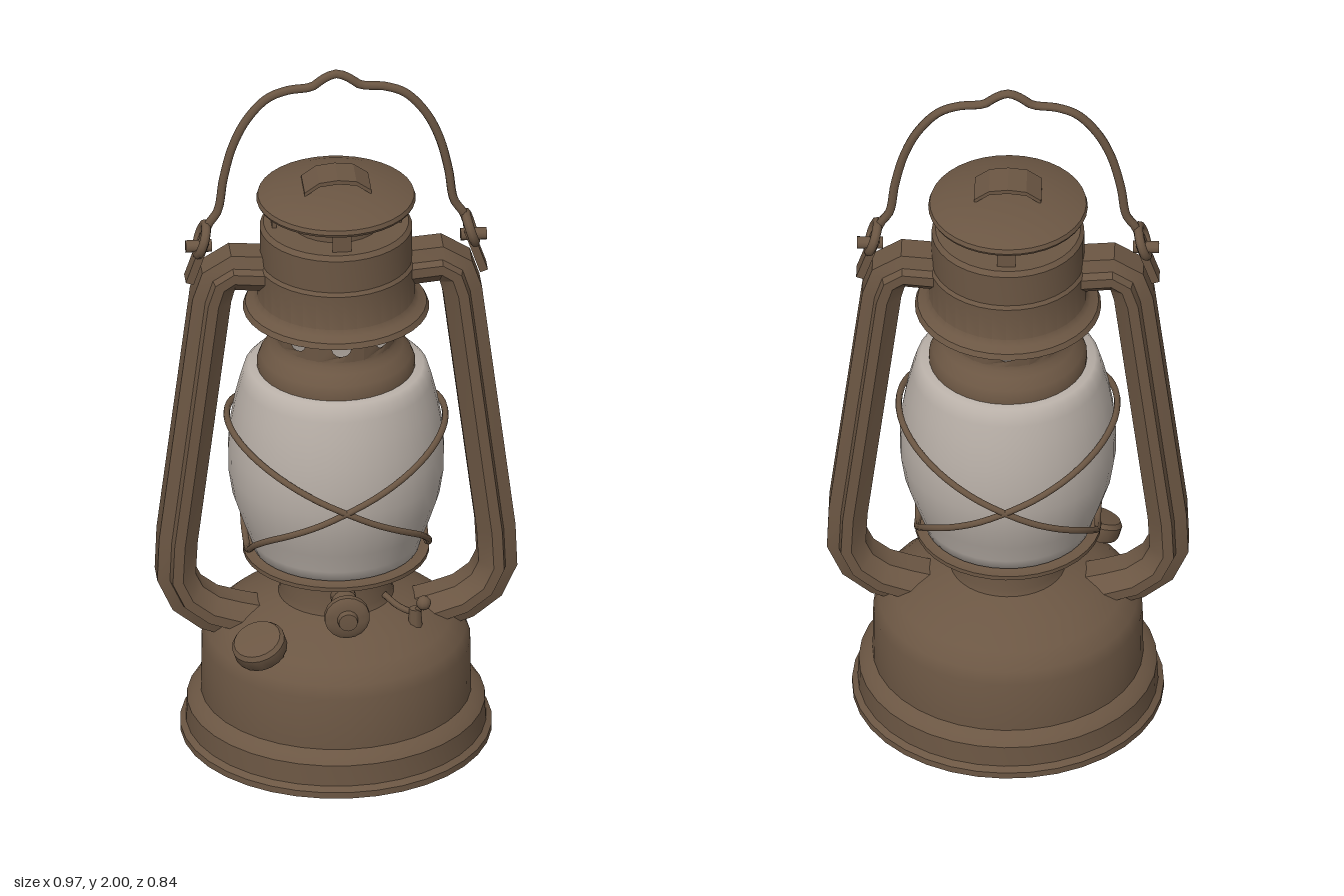
import * as THREE from 'three';
import { toCreasedNormals } from 'three/addons/utils/BufferGeometryUtils.js';

const metal = new THREE.MeshStandardMaterial({ color: 0x6b5643, side: THREE.DoubleSide });
metal.name = 'aged bronze metal';
const glass = new THREE.MeshStandardMaterial({ color: 0xb9b0a8, side: THREE.DoubleSide });
glass.name = 'frosted glass';

const V = (x, y, z = 0) => new THREE.Vector3(x, y, z);

function add(parent, name, geometry, material = metal) {
  const mesh = new THREE.Mesh(geometry, material);
  mesh.name = name;
  parent.add(mesh);
  return mesh;
}

// Turned part from [radius, height] pairs, listed bottom to top
function turned(profile, segments = 36, crease = 0.6) {
  const points = profile.map(([r, y]) => new THREE.Vector2(r, y));
  return toCreasedNormals(new THREE.LatheGeometry(points, segments), crease);
}

function wire(points, radius, closed = false, steps = 48) {
  return new THREE.TubeGeometry(new THREE.CatmullRomCurve3(points, closed), steps, radius, 7, closed);
}

// Sweeps a closed section of [outward, depth] pairs along a path in the xy plane
function sweep(path, section) {
  const position = [], index = [], n = section.length;
  path.forEach((p, i) => {
    const before = path[Math.max(i - 1, 0)], after = path[Math.min(i + 1, path.length - 1)];
    const t = after.clone().sub(before).normalize();
    for (const [o, z] of section) position.push(p.x + t.y * o, p.y - t.x * o, z);
    if (i === 0) return;
    for (let j = 0; j < n; j++) {
      const k = (j + 1) % n, a = (i - 1) * n, b = i * n;
      index.push(a + j, a + k, b + k, a + j, b + k, b + j);
    }
  });
  const g = new THREE.BufferGeometry();
  g.setAttribute('position', new THREE.Float32BufferAttribute(position, 3));
  g.setIndex(index);
  return toCreasedNormals(g, 0.5);
}

// One eighth of a drum wall with a round hole, bent around the y axis
function ventPanel(radius, height) {
  const half = radius * Math.PI / 8, shape = new THREE.Shape();
  shape.moveTo(-half, -height / 2);
  for (let i = 1; i <= 4; i++) shape.lineTo(-half + half * i / 2, -height / 2);
  for (let i = 0; i <= 4; i++) shape.lineTo(half - half * i / 2, height / 2);
  const hole = new THREE.Path();
  hole.absarc(0, 0, 0.027, 0, Math.PI * 2, true);
  shape.holes.push(hole);
  const g = new THREE.ShapeGeometry(shape, 6), p = g.attributes.position;
  for (let i = 0; i < p.count; i++) {
    const a = p.getX(i) / radius;
    p.setXYZ(i, radius * Math.sin(a), p.getY(i), radius * Math.cos(a));
  }
  g.computeVertexNormals();
  return g;
}

function addSide(lantern, name, turn) {
  const side = new THREE.Group();
  side.name = name;
  side.rotation.y = turn;
  lantern.add(side);

  // Hollow side frame running from the tank to the hood
  const path = [[0.19, 0.335], [0.27, 0.355], [0.34, 0.378], [0.4, 0.425], [0.43, 0.49], [0.425, 0.6],
    [0.335, 1.33], [0.318, 1.385], [0.28, 1.41], [0.17, 1.4]].map(([x, y]) => V(x, y));
  const section = [[0.055, 0.038], [0.055, -0.038], [0.022, -0.05], [0.016, -0.075], [-0.012, -0.075],
    [-0.05, -0.035], [-0.05, 0.035], [-0.012, 0.075], [0.016, 0.075], [0.022, 0.05]];
  add(side, 'sideFrame', sweep(path, section));

  // Ear and ring that hold the bail
  const ear = add(side, 'bailEar', new THREE.BoxGeometry(0.022, 0.13, 0.05));
  ear.position.set(0.375, 1.44, 0);
  ear.rotation.z = 0.33;
  const ring = add(side, 'bailRing', new THREE.TorusGeometry(0.042, 0.013, 8, 18));
  ring.position.set(0.362, 1.5, 0);
  ring.rotation.set(0, Math.PI / 2, 0.3, 'ZYX');
  const pin = add(side, 'bailPin', new THREE.CylinderGeometry(0.017, 0.017, 0.07, 10));
  pin.position.set(0.37, 1.48, 0);
  pin.rotation.z = Math.PI / 2;
}

export function createModel() {
  const lantern = new THREE.Group();
  lantern.name = 'lantern';

  // Fuel tank with stepped foot and domed shoulder
  add(lantern, 'fuelTank', turned([[0, 0.02], [0.37, 0.02], [0.385, 0.002], [0.418, 0], [0.418, 0.018],
    [0.403, 0.03], [0.4, 0.09], [0.385, 0.108], [0.363, 0.12], [0.361, 0.27], [0.348, 0.305], [0.31, 0.342],
    [0.25, 0.375], [0.19, 0.4], [0.155, 0.412], [0.15, 0.43], [0.15, 0.5]]));

  // Burner plate under the globe
  add(lantern, 'burnerPlate', turned([[0.14, 0.47], [0.15, 0.505], [0.2, 0.515], [0.25, 0.54],
    [0.25, 0.552], [0.22, 0.552], [0.2, 0.565], [0, 0.565]]));

  add(lantern, 'globe', turned([[0.2, 0.55], [0.225, 0.56], [0.233, 0.59], [0.255, 0.65], [0.278, 0.72],
    [0.289, 0.79], [0.29, 0.86], [0.284, 0.93], [0.272, 1], [0.257, 1.06], [0.248, 1.09], [0.235, 1.103],
    [0.18, 1.103]], 36, 1), glass);

  // Two tilted guard rings that cross at the front and back
  for (const s of [1, -1]) {
    const points = [];
    for (let i = 0; i < 24; i++) {
      const a = i / 24 * Math.PI * 2, c = Math.cos(a), low = Math.max(0, -c);
      const shrink = 1 - 0.18 * low ** 6;
      const y = 0.81 + (c > 0 ? 0.14 * c : -0.16 * low - 0.09 * low ** 6);
      points.push(V(s * 0.293 * c * shrink, y, 0.31 * Math.sin(a) * shrink));
    }
    add(lantern, 'globeGuard', wire(points, 0.009, true, 64));
  }

  // Collar and pierced vent drum above the globe
  add(lantern, 'globeCollar', turned([[0.2, 1.098], [0.212, 1.1], [0.212, 1.118], [0.203, 1.14],
    [0.18, 1.165], [0.165, 1.18], [0.162, 1.192]]));
  const panel = ventPanel(0.162, 0.092);
  for (let i = 0; i < 8; i++) {
    const vent = add(lantern, 'ventPanel', panel);
    vent.position.y = 1.236;
    vent.rotation.y = i * Math.PI / 4;
  }

  // Hood with flared skirt and inner flue
  add(lantern, 'hood', turned([[0.16, 1.28], [0.235, 1.277], [0.25, 1.28], [0.243, 1.295], [0.222, 1.305],
    [0.212, 1.32], [0.212, 1.42], [0.205, 1.43], [0.205, 1.525], [0.195, 1.538], [0.12, 1.538]]));
  add(lantern, 'flue', turned([[0.122, 1.5], [0.122, 1.61]], 24));

  // Chimney cap on four posts
  for (let i = 0; i < 4; i++) {
    const a = i * Math.PI / 2;
    const post = add(lantern, 'capPost', new THREE.BoxGeometry(0.05, 0.09, 0.012));
    post.position.set(0.168 * Math.sin(a), 1.565, 0.168 * Math.cos(a));
    post.rotation.y = a;
  }
  add(lantern, 'chimneyCap', turned([[0, 1.6], [0.18, 1.6], [0.21, 1.602], [0.214, 1.61], [0.21, 1.622],
    [0.17, 1.638], [0.1, 1.652], [0, 1.658]]));
  const tab = new THREE.Shape();
  [[-0.09, 1.648], [-0.05, 1.676], [0, 1.682], [0.05, 1.676], [0.09, 1.648], [0.09, 1.66], [0.05, 1.688],
    [0, 1.694], [-0.05, 1.688], [-0.09, 1.66]].forEach(([x, y], i) => (i ? tab.lineTo(x, y) : tab.moveTo(x, y)));
  const lift = add(lantern, 'capLiftTab', new THREE.ExtrudeGeometry(tab, { depth: 0.1, bevelEnabled: false }));
  lift.position.z = -0.04;

  addSide(lantern, 'leftSide', 0);
  addSide(lantern, 'rightSide', Math.PI);

  // Wire bail with a notch at the top for hanging
  const half = [[0.365, 1.47], [0.343, 1.545], [0.318, 1.585], [0.303, 1.68], [0.278, 1.78], [0.24, 1.86],
    [0.185, 1.922], [0.13, 1.944], [0.065, 1.952], [0.035, 1.974]];
  const bail = [...half.map(([x, y]) => V(-x, y)), V(0, 1.988), ...half.map(([x, y]) => V(x, y)).reverse()];
  add(lantern, 'bail', wire(bail, 0.012, false, 80));

  // Filler cap on the tank shoulder
  const filler = add(lantern, 'fillerCap', turned([[0.045, -0.06], [0.045, -0.012], [0.068, -0.01],
    [0.073, 0], [0.073, 0.03], [0.064, 0.042], [0, 0.046]], 20));
  filler.position.set(-0.222, 0.36, 0.222);
  filler.rotation.set(0.3, 0, 0.3);

  // Wick knob on its shaft
  const knob = add(lantern, 'wickKnob', turned([[0.02, 0.13], [0.02, 0.19], [0.034, 0.2], [0.034, 0.235],
    [0.018, 0.245], [0.018, 0.295], [0.05, 0.3], [0.061, 0.31], [0.061, 0.328], [0.05, 0.336],
    [0.028, 0.338], [0.025, 0.355], [0, 0.357]], 18));
  knob.position.y = 0.502;
  knob.rotation.x = Math.PI / 2;

  // Globe lift lever
  add(lantern, 'liftLever', wire([V(0.12, 0.44, 0.09), V(0.16, 0.415, 0.12), V(0.2, 0.41, 0.14),
    V(0.225, 0.445, 0.15)], 0.009, false, 16));
  const thumb = add(lantern, 'leverThumb', new THREE.SphereGeometry(0.02, 10, 8));
  thumb.position.set(0.222, 0.44, 0.15);
  const pivot = add(lantern, 'leverPivot', new THREE.CylinderGeometry(0.016, 0.02, 0.06, 8));
  pivot.position.set(0.2, 0.39, 0.14);

  return lantern;
}
